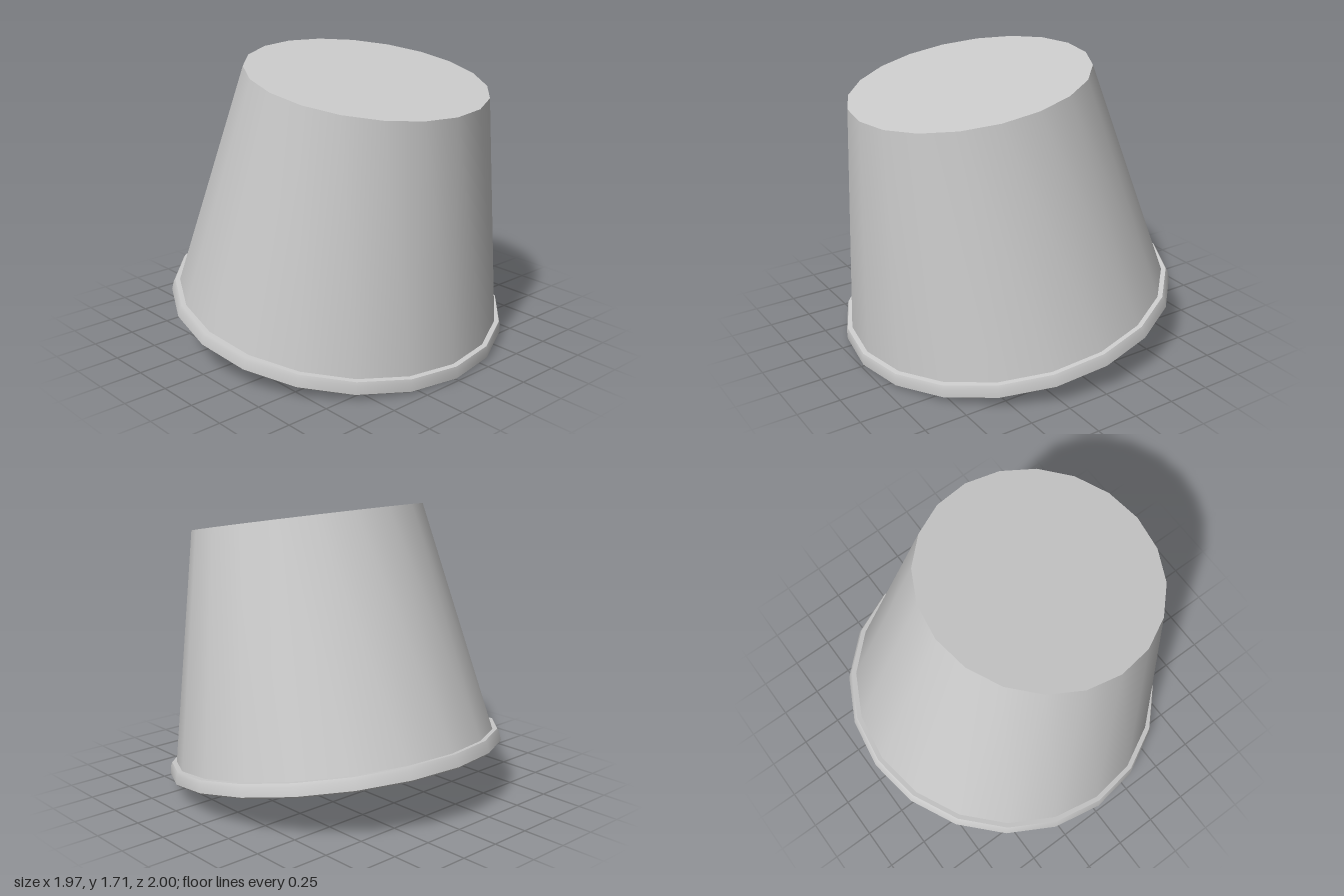
import * as THREE from 'three';
import { toCreasedNormals } from 'three/addons/utils/BufferGeometryUtils.js';

const SIDES = 20;
const TILT = THREE.MathUtils.degToRad(10);

// Turn a profile of [radius, height] pairs, smooth around and sharp at corners
function turned(name, profile) {
  const points = profile.map(([r, y]) => new THREE.Vector2(r, y));
  const geometry = toCreasedNormals(new THREE.LatheGeometry(points, SIDES), 0.5);
  const mesh = new THREE.Mesh(geometry, new THREE.MeshStandardMaterial({ color: 0xcccccc }));
  mesh.name = name;
  return mesh;
}

export function createModel() {
  const group = new THREE.Group();
  group.name = 'upturnedBucket';

  const bucket = new THREE.Group();
  bucket.name = 'tiltedBucket';
  bucket.add(
    // Tapered wall closed by the flat base, which faces up
    turned('bucketWall', [[0.957, 0.08], [0.69, 1.437], [0, 1.437]]),
    // Lip around the open end, with softened corners
    turned('rim', [[0.91, 0], [0.99, 0], [1, 0.01], [0.994, 0.06], [0.985, 0.08], [0.957, 0.08]]),
    // Sloped hollow on the underside
    turned('undersideRecess', [[0, 0.19], [0.783, 0.19], [0.91, 0]])
  );

  // Lean towards +x with the lowest edge of the rim on the ground
  bucket.rotation.z = -TILT;
  bucket.position.y = 0.99 * Math.sin(TILT);
  group.add(bucket);
  return group;
}
